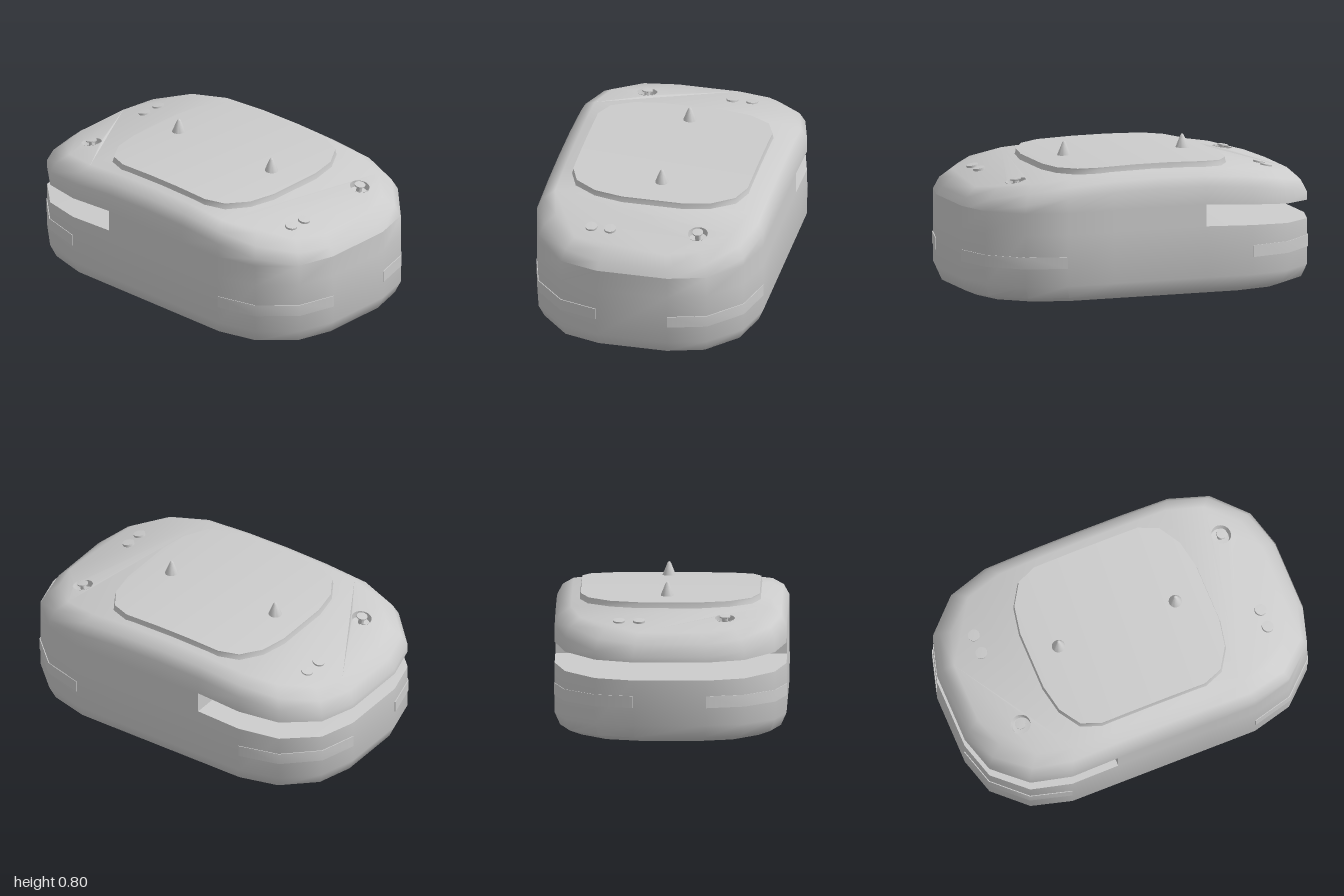
import * as THREE from 'three';
import { mergeGeometries, toCreasedNormals } from 'three/addons/utils/BufferGeometryUtils.js';

const material = new THREE.MeshStandardMaterial({ color: 0xcccccc });
const openMaterial = new THREE.MeshStandardMaterial({ color: 0xcccccc, side: THREE.DoubleSide });
const CREASE = 0.8;
const SLOT_X = -0.27;

// Height of the domed top, and of the floor and roof of the side slot
const topY = (x) => 0.7 - 0.07 * x * x - 0.06 * x ** 4;
const slotT = (x) => Math.max(0, (SLOT_X - x) / 0.73);
const floorY = (x) => 0.385 - 0.035 * slotT(x) ** 1.3;
const roofY = (x) => 0.505 - 0.055 * slotT(x) ** 1.3;

// Half outlines (x, z); each is mirrored front to back and left to right
const corner = [[-1, 0.2], [-0.94, 0.41], [-0.765, 0.575], [-0.54, 0.635]];
const mirrorX = (half) => [...half, ...half.map(([x, z]) => [-x, z]).reverse()];
const bodyChain = mirrorX([...corner, [SLOT_X, 0.635]]);
bodyChain.splice(5, 0, [0, 0.635]);
const lidChain = mirrorX([[-0.52, 0.168], [-0.49, 0.325], [-0.415, 0.445], [-0.305, 0.49], [-0.1, 0.49]]);

// Closed ring around a chain, drawn inward by d, with height from x
function ring(chain, d, height) {
  const sx = 1 - d / -chain[0][0];
  const sz = 1 - d / Math.max(...chain.map((p) => p[1]));
  const front = chain.map(([x, z]) => [x * sx, height(x * sx), z * sz]);
  return [...front, ...front.map(([x, y, z]) => [x, y, -z]).reverse()];
}

// Collects quads into a geometry
class Surface {
  constructor() { this.pos = []; }
  quad(a, b, c, d) { this.pos.push(...a, ...b, ...c, ...a, ...c, ...d); }
  loft(rings, keep = () => true) {
    for (let k = 0; k < rings.length - 1; k++) {
      const lo = rings[k], hi = rings[k + 1], n = lo.length;
      for (let i = 0; i < n; i++) {
        const j = (i + 1) % n;
        if (keep(lo[i], lo[j])) this.quad(lo[i], lo[j], hi[j], hi[i]);
      }
    }
  }
  // Strips across a ring from front to back, between chain positions
  cap(r, from, to, up = true) {
    const last = r.length - 1;
    for (let i = from; i < to; i++) {
      const q = [r[i], r[i + 1], r[last - i - 1], r[last - i]];
      this.quad(...(up ? q : q.reverse()));
    }
  }
  geometry() {
    const g = new THREE.BufferGeometry();
    g.setAttribute('position', new THREE.Float32BufferAttribute(this.pos, 3));
    return g;
  }
}

function mesh(name, geometry, mat = material) {
  const m = new THREE.Mesh(geometry, mat);
  m.name = name;
  return m;
}

const sticks = [[0.725, -0.31], [-0.71, 0.3]];

// End of the domed top with a round opening for a stick
function topEnd(r, side, [hx, hz]) {
  const pts = r.filter((p) => p[0] * side > 0.4);
  if (side < 0) pts.sort((a, b) => Math.atan2(a[2], a[0] + 0.6) - Math.atan2(b[2], b[0] + 0.6));
  else pts.sort((a, b) => Math.atan2(a[2], a[0] - 0.6) - Math.atan2(b[2], b[0] - 0.6));
  const shape = new THREE.Shape(pts.map((p) => new THREE.Vector2(p[0], -p[2])));
  shape.holes.push(new THREE.Path().absarc(hx, -hz, 0.056, 0, Math.PI * 2, true));
  const g = new THREE.ShapeGeometry(shape, 10).rotateX(-Math.PI / 2).toNonIndexed();
  const p = g.attributes.position;
  for (let i = 0; i < p.count; i++) p.setY(i, topY(p.getX(i)));
  g.deleteAttribute('normal');
  g.deleteAttribute('uv');
  return g;
}

function bodyGeometry() {
  const s = new Surface();
  const body = (d, f) => ring(bodyChain, d, f);
  const bottom = body(0.1, () => 0), floor = body(0, floorY), roof = body(0, roofY);
  const top = body(0.09, topY);
  s.cap(bottom, 0, 10, false);
  s.loft([bottom, body(0.03, () => 0.03), body(0, () => 0.1), floor]);
  s.loft([floor, roof], (a, b) => Math.min(a[0], b[0]) >= SLOT_X);
  s.loft([roof, body(0, (x) => topY(x) - 0.09), body(0.03, (x) => topY(x) - 0.035), top]);
  // Slot floor, roof and inner wall
  s.cap(floor, 0, 4);
  s.cap(roof, 0, 4, false);
  s.quad(floor[17], floor[4], roof[4], roof[17]);
  s.cap(top, 3, 7);
  const ends = [topEnd(top, 1, sticks[0]), topEnd(top, -1, sticks[1])];
  return toCreasedNormals(mergeGeometries([s.geometry(), ...ends]), CREASE);
}

function lidGeometry() {
  const s = new Surface();
  const top = ring(lidChain, 0, (x) => topY(x) + 0.03);
  s.loft([ring(lidChain, -0.008, (x) => topY(x) - 0.01), ring(lidChain, 0, (x) => topY(x) + 0.022), top]);
  s.cap(top, 0, lidChain.length - 1);
  return toCreasedNormals(s.geometry(), CREASE);
}

// Thin band wrapped round one corner
function trimGeometry(sx, sz) {
  const path = (k) => corner.map(([x, z]) => new THREE.Vector2(-x * k * sx, z * k * sz));
  const shape = new THREE.Shape([...path(1.005), ...path(0.98).reverse()]);
  const g = new THREE.ExtrudeGeometry(shape, { depth: 0.065, bevelEnabled: false });
  return toCreasedNormals(g.rotateX(Math.PI / 2).translate(0, 0.263, 0), CREASE);
}

const lathe = (pts, n = 20) =>
  toCreasedNormals(new THREE.LatheGeometry(pts.map((p) => new THREE.Vector2(...p)), n), CREASE);

export function createModel() {
  const model = new THREE.Group();
  model.name = 'slottedCase';
  model.add(mesh('body', bodyGeometry()));

  const lid = mesh('lid', lidGeometry());
  lid.position.z = -0.005;
  model.add(lid);

  for (const sx of [1, -1]) for (const sz of [1, -1]) model.add(mesh('cornerTrim', trimGeometry(sx, sz)));

  // Pointed studs on the lid
  for (const x of [-0.355, 0.335]) {
    const spike = mesh('spike', lathe([[0.039, 0], [0.036, 0.01], [0.01, 0.075], [0.005, 0.082], [0, 0.084]]));
    spike.position.set(x, topY(x) + 0.022, -0.02);
    model.add(spike);
  }

  // Places a part on the dome, tilted to its slope
  const onTop = (part, x, z) => {
    part.position.set(x, topY(x), z);
    part.rotation.z = Math.atan(-0.14 * x - 0.24 * x ** 3);
    model.add(part);
  };

  // Sticks standing in round wells
  for (const [x, z] of sticks) {
    const stick = new THREE.Group();
    stick.name = 'thumbStick';
    stick.add(mesh('well', lathe([[0.058, 0.002], [0.055, 0.002], [0.05, -0.035], [0, -0.04]]), openMaterial));
    stick.add(mesh('stick', lathe([[0.016, -0.04], [0.016, 0.002], [0.03, 0.008], [0.03, 0.015], [0, 0.017]])));
    onTop(stick, x, z);
  }

  // Pairs of round buttons
  for (const [x, z] of [[-0.75, -0.28], [-0.75, -0.17], [0.76, 0.175], [0.76, 0.28]])
    onTop(mesh('button', lathe([[0.033, -0.02], [0.033, 0.004], [0, 0.005]])), x, z);

  return model;
}
